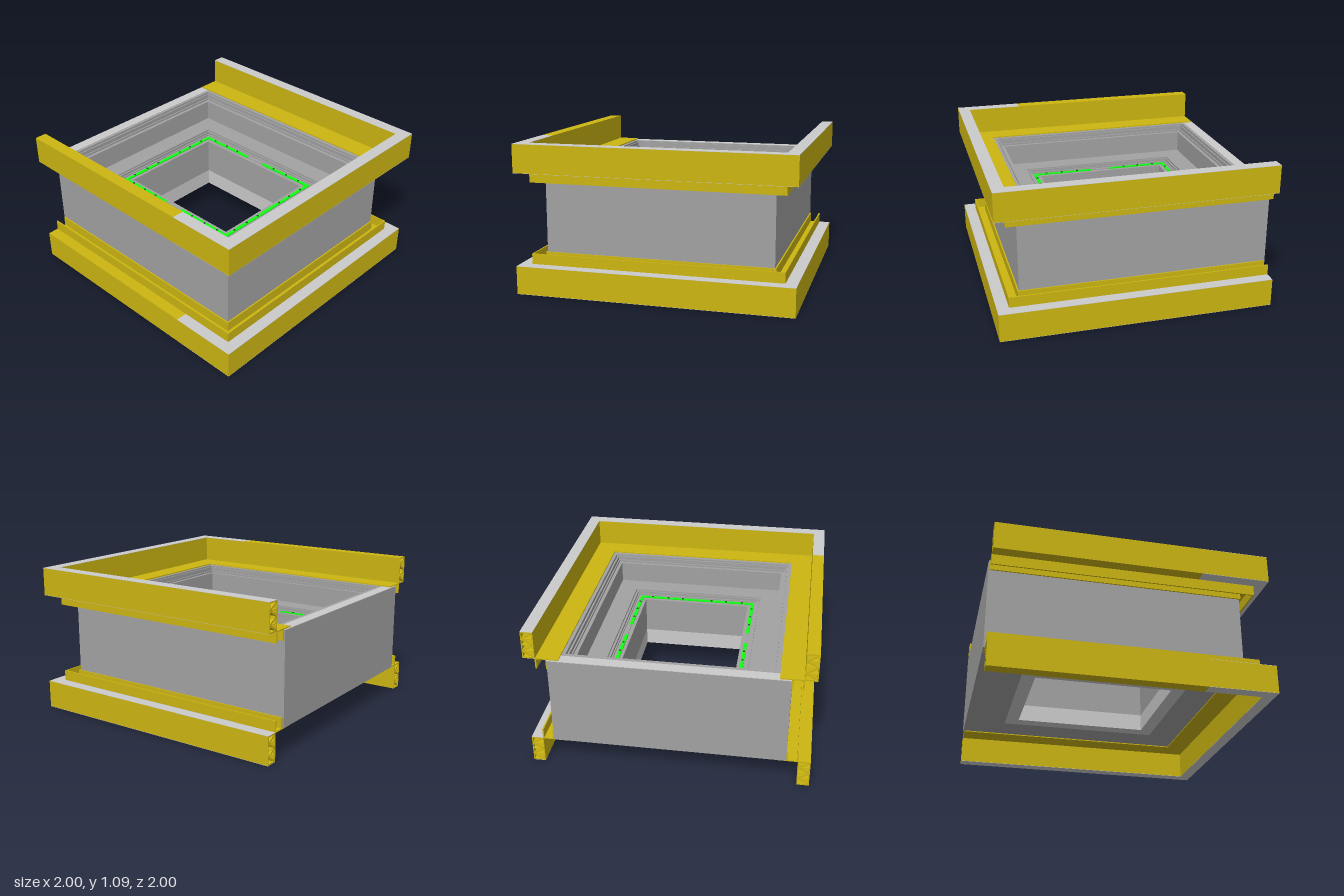
import * as THREE from 'three';

const mat = (color) => new THREE.MeshStandardMaterial({ color, flatShading: true });
const H = 1.085, BACK = -0.99, OFF = 0.085; // height, rail ends, extra half depth of the body

export function createModel() {
  const model = new THREE.Group();
  const light = mat(0xcccccc), grey = mat(0xa2a2a2), yellow = mat(0xccb512);
  const green = mat(0x11ff11), dark = mat(0x444444);

  const add = (parent, name, geo, m) => {
    const mesh = new THREE.Mesh(geo, m);
    mesh.name = name;
    parent.add(mesh);
    return mesh;
  };
  const box = (parent, name, m, x0, x1, y0, y1, z0, z1) =>
    add(parent, name, new THREE.BoxGeometry(x1 - x0, y1 - y0, z1 - z0), m)
      .position.set((x0 + x1) / 2, (y0 + y1) / 2, (z0 + z1) / 2);

  // Plan outline given as [x, z], raised from y0 to y1
  const upright = (points, holes, y0, y1) => {
    const toVec = ([x, z]) => new THREE.Vector2(x, -z);
    const shape = new THREE.Shape(points.map(toVec));
    for (const h of holes) shape.holes.push(new THREE.Path(h.map(toVec)));
    return new THREE.ExtrudeGeometry(shape, { depth: y1 - y0, bevelEnabled: false })
      .rotateX(-Math.PI / 2).translate(0, y0, 0);
  };
  // Rectangle whose sides lie at x = +-h, z = h and z = -h - 2 * OFF
  const rect = (h) => [[-h, h], [h, h], [h, -h - 2 * OFF], [-h, -h - 2 * OFF]];
  const ring = (parent, name, m, outer, inner, y0, y1) =>
    add(parent, name, upright(rect(outer), [rect(inner)], y0, y1), m);
  // Three-sided strip, open to the back
  const uStrip = (parent, name, m, o, i, y0, y1) =>
    add(parent, name, upright([[-o, BACK], [-o, o], [o, o], [o, BACK],
      [i, BACK], [i, i], [-i, i], [-i, BACK]], [], y0, y1), m);

  // Body: outer wall, inner ledges stepping down to the opening, base plate
  const body = new THREE.Group();
  body.name = 'body';
  model.add(body);
  ring(body, 'outerWall', grey, 0.83, 0.75, 0.21, 0.872);
  ring(body, 'wallTop', light, 0.83, 0.75, 0.872, 0.876);
  const ledges = [ // outer, inner, top
    [0.75, 0.725, 0.875], [0.725, 0.715, 0.85], [0.715, 0.705, 0.865], [0.705, 0.695, 0.835],
    [0.695, 0.67, 0.82], [0.67, 0.52, 0.66], [0.52, 0.51, 0.645], [0.51, 0.50, 0.655],
    [0.50, 0.49, 0.635], [0.49, 0.42, 0.625],
  ];
  for (const [o, i, top] of ledges) ring(body, 'ledge', grey, o, i, 0.34, top);
  ring(body, 'basePlate', grey, 0.75, 0.52, 0.21, 0.34);
  ring(body, 'openingLining', light, 0.52, 0.42, 0.21, 0.34);

  // Green seal strips round the opening, with a gap in the middle of each side
  const seal = new THREE.Group();
  seal.name = 'seal';
  model.add(seal);
  const so = 0.47, si = 0.445, sy = 0.632;
  const stud = (x, z) => add(seal, 'sealScrew', new THREE.CylinderGeometry(0.008, 0.008, 0.01, 10), dark)
    .position.set(x, sy, z);
  for (const [z0, z1] of [[si, so], [-so - 2 * OFF, -si - 2 * OFF]]) {
    box(seal, 'sealStrip', green, -so, so, 0.62, sy, z0, z1);
    for (const x of [0.12, 0.24, 0.37]) for (const s of [-1, 1]) stud(s * x, (z0 + z1) / 2);
  }
  for (const s of [-1, 1]) {
    const [x0, x1] = s > 0 ? [si, so] : [-so, -si];
    box(seal, 'sealStrip', green, x0, x1, 0.62, sy, -si - 2 * OFF, -0.17);
    box(seal, 'sealStrip', green, x0, x1, 0.62, sy, -0.01, si);
    box(seal, 'sealGapBar', grey, x0 + 0.007, x1 - 0.007, 0.62, sy, -0.17, -0.01);
    for (const z of [-0.54, -0.41, -0.29, 0.11, 0.24, 0.365]) stud(s * (si + so) / 2, z);
  }

  // Hollow side rail with a zigzag of inner webs
  const railGeometry = (w, h, length) => {
    const t = 0.007, n = 4, cell = (h - 2 * t) / n;
    const shape = new THREE.Shape([[0, 0], [w, 0], [w, h], [0, h]].map((p) => new THREE.Vector2(...p)));
    for (let k = 0; k < n; k++) {
      const y0 = t + k * cell + 0.002, y1 = y0 + cell - 0.004;
      const flip = (x) => (k % 2 ? w - x : x);
      for (const tri of [
        [[t, y0 + 0.008], [t, y1], [w - t - 0.012, y1]],
        [[t + 0.012, y0], [w - t, y0], [w - t, y1 - 0.008]],
      ]) shape.holes.push(new THREE.Path(tri.map(([x, y]) => new THREE.Vector2(flip(x), y))));
    }
    return new THREE.ExtrudeGeometry(shape, { depth: length, bevelEnabled: false });
  };

  // One three-sided frame above and one, turned upside down, below
  for (const top of [true, false]) {
    const frame = new THREE.Group();
    frame.name = top ? 'upperFrame' : 'lowerFrame';
    model.add(frame);
    const span = (a, b) => (top ? [a, b] : [H - b, H - a]);
    const y0 = 0.878, inner = 0.912, [r0, r1] = span(y0 + 0.002, H - 0.002);

    // Rails
    box(frame, 'frontRail', yellow, -1, 1, r0, r1, inner, 1);
    const rail = railGeometry(1 - inner, r1 - r0, inner - BACK);
    for (const x of [-1, inner]) add(frame, 'sideRail', rail, yellow).position.set(x, r0, BACK);

    // Pale faces above and below the rails; one side is covered only near the front
    for (const [a, b] of [[y0, y0 + 0.002], [H - 0.002, H]]) {
      const [c0, c1] = span(a, b);
      box(frame, 'frontRailFace', light, -1, 1, c0, c1, inner, 1);
      box(frame, 'leftRailFace', light, inner, 1, c0, c1, BACK, inner);
      box(frame, 'rightRailFace', light, -1, -inner, c0, c1, 0.5, inner);
      box(frame, 'rightRailCover', yellow, -1, -inner, c0, c1, BACK, 0.5);
    }

    // Channel flange: flat plate, outer lip and inner lip against the body
    uStrip(frame, 'flangePlate', yellow, 0.915, 0.75, ...span(0.876, 0.884));
    uStrip(frame, 'flangeOuterLip', yellow, 0.915, 0.905, ...span(0.802, 0.877));
    uStrip(frame, 'flangeInnerLip', yellow, 0.84, 0.828, ...span(0.802, 0.877));
  }
  return model;
}
